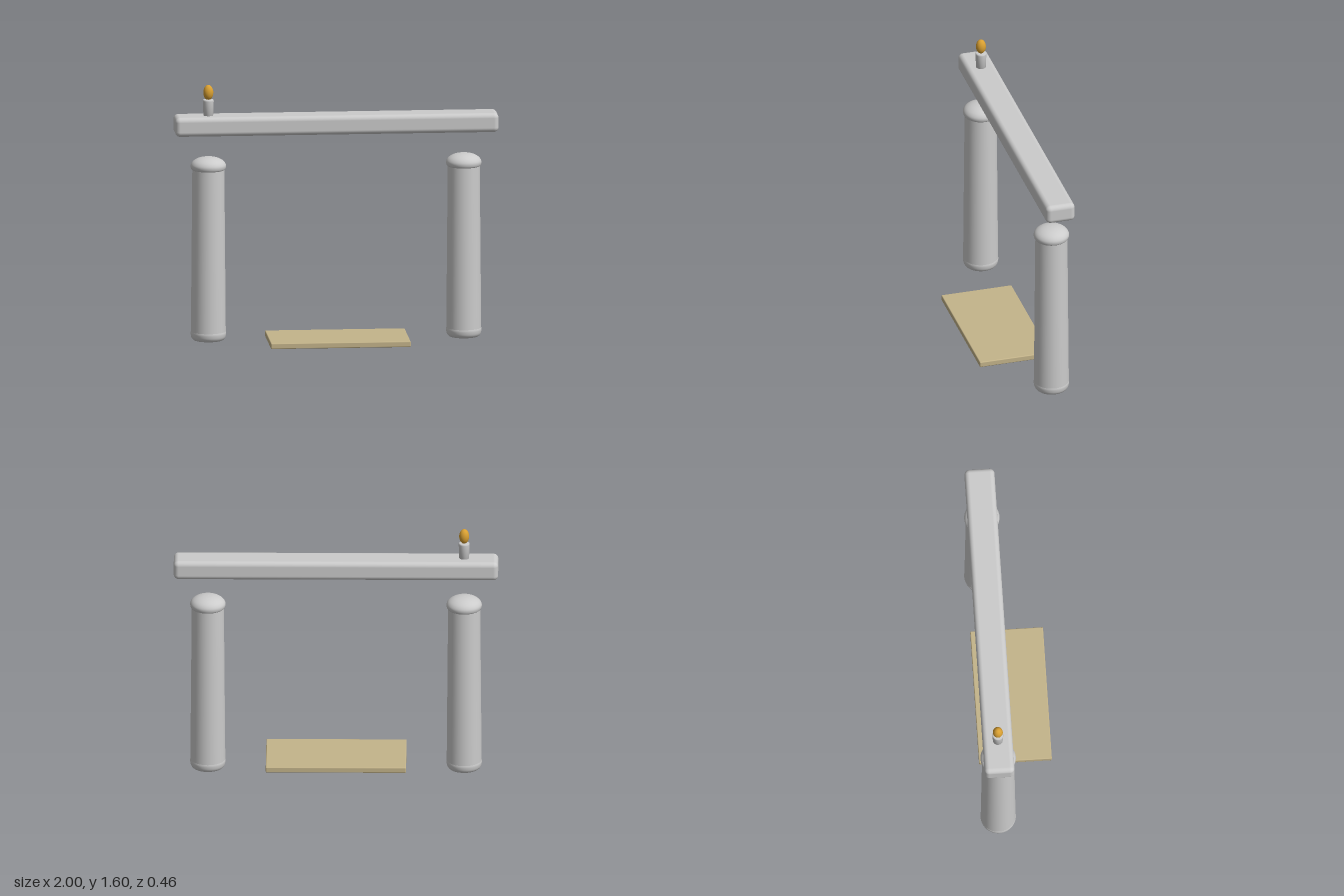
import * as THREE from 'three';
import { RoundedBoxGeometry } from 'three/addons/geometries/RoundedBoxGeometry.js';

const grey = new THREE.MeshStandardMaterial({ color: 0xcccccc });
const tan = new THREE.MeshStandardMaterial({ color: 0xc4b48a });
const amber = new THREE.MeshStandardMaterial({ color: 0xd9a032 });

function add(parent, name, geometry, material, x = 0, y = 0, z = 0) {
  const mesh = new THREE.Mesh(geometry, material);
  mesh.name = name;
  mesh.position.set(x, y, z);
  parent.add(mesh);
  return mesh;
}

// Turned solid from a smooth profile of [radius, height] points, bottom to top
function turned(points, divisions = 40) {
  const curve = new THREE.CatmullRomCurve3(
    points.map(([r, y]) => new THREE.Vector3(r, y, 0)), false, 'centripetal');
  const profile = curve.getPoints(divisions).map((p) => new THREE.Vector2(Math.max(p.x, 0), p.y));
  return new THREE.LatheGeometry(profile, 40);
}

function createPillar(name, x) {
  const pillar = new THREE.Group();
  pillar.name = name;
  pillar.position.set(x, 0, -0.12);
  // Slightly tapered shaft
  add(pillar, 'shaft', new THREE.CylinderGeometry(0.099, 0.108, 1.04, 40), grey, 0, 0.57);
  // Rounded foot
  add(pillar, 'foot', turned([[0, 0], [0.07, 0.001], [0.092, 0.006], [0.104, 0.02],
    [0.109, 0.04], [0.109, 0.052], [0.105, 0.064], [0.09, 0.07], [0, 0.07]]), grey);
  // Domed cap with a soft lower rim
  add(pillar, 'cap', turned([[0, 1.068], [0.09, 1.068], [0.103, 1.073], [0.109, 1.088],
    [0.108, 1.103], [0.096, 1.122], [0.07, 1.139], [0.035, 1.149], [0, 1.152]]), grey);
  return pillar;
}

export function createModel() {
  const model = new THREE.Group();
  model.name = 'mantelpiece';

  // Pillars on both sides
  model.add(createPillar('leftPillar', 0.79), createPillar('rightPillar', -0.79));

  // Mantel beam, floating above the pillars
  add(model, 'mantelBeam', new RoundedBoxGeometry(2, 0.12, 0.185, 5, 0.03), grey, 0, 1.35, -0.123);

  // Hearth slab on the floor
  add(model, 'hearthSlab', new RoundedBoxGeometry(0.865, 0.036, 0.45, 2, 0.006), tan, 0, 0.022, 0.01);

  // Candle and flame on the beam
  const candle = new THREE.Group();
  candle.name = 'candle';
  candle.position.set(-0.79, 1.4, -0.122);
  add(candle, 'wax', new THREE.LatheGeometry([[0, 0], [0.03, 0], [0.034, 0.1], [0.033, 0.107],
    [0.029, 0.11], [0, 0.11]].map(([r, y]) => new THREE.Vector2(r, y)), 32), grey);
  const flame = add(candle, 'flame', new THREE.SphereGeometry(1, 32, 20), amber, 0, 0.154);
  flame.scale.set(0.031, 0.047, 0.031);
  model.add(candle);

  return model;
}
